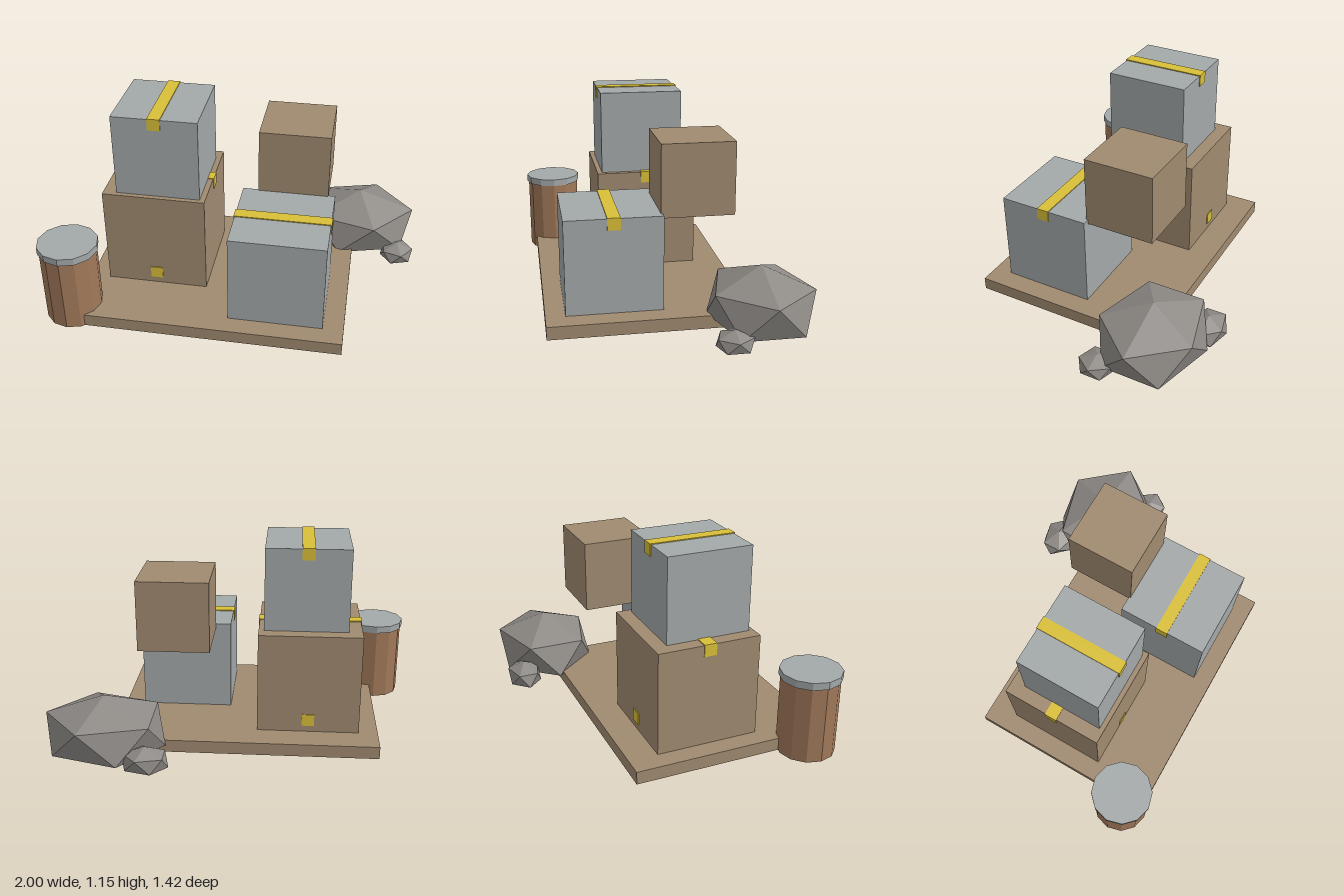
import * as THREE from 'three';

const mat = (color) => new THREE.MeshStandardMaterial({ color, flatShading: true });

export function createModel() {
  const root = new THREE.Group();
  const wood = mat(0xa08a70), grey = mat(0xa3a8a9), yellow = mat(0xd9bf38);
  const stone = mat(0x8e8a86), barrelWood = mat(0xa1795a);

  const add = (parent, name, geometry, material, x, y, z) => {
    const mesh = new THREE.Mesh(geometry, material);
    mesh.name = name;
    mesh.position.set(x, y, z);
    parent.add(mesh);
    return mesh;
  };
  const box = (parent, name, material, w, h, d, x, y, z) =>
    add(parent, name, new THREE.BoxGeometry(w, h, d), material, x, y, z);

  // Cube standing at height y, in its own group
  const crate = (name, material, size, x, y, z) => {
    const group = new THREE.Group();
    group.name = name;
    group.position.set(x, y, z);
    box(group, name + 'Body', material, size, size, size, 0, size / 2, 0);
    root.add(group);
    return group;
  };

  // Strip of tape over the lid with a short flap down each end; turn = PI/2 runs it along z
  const tape = (parent, size, offset, turn = 0) => {
    const t = 0.005, width = 0.068, drop = 0.06;
    const strip = new THREE.Group();
    strip.name = 'tape';
    strip.rotation.y = turn;
    box(strip, 'tapeTop', yellow, size + 2 * t, t, width, 0, size + t / 2, offset);
    for (const s of [-1, 1])
      box(strip, 'tapeFlap', yellow, t, drop, width, s * (size + t) / 2, size - drop / 2, offset);
    parent.add(strip);
  };

  // Pallet
  box(root, 'basePlatform', wood, 1.45, 0.07, 1.065, -0.085, 0.095, 0.13);

  // Boxes
  const large = crate('largeBox', wood, 0.56, -0.425, 0.13, 0.035);
  tape(large, 0.56, 0);
  for (const s of [-1, 1])
    box(large, 'tapePatch', yellow, 0.068, 0.068, 0.005, 0, 0.07, s * 0.2825);
  tape(crate('upperBox', grey, 0.457, -0.403, 0.69, 0.06), 0.457, 0, Math.PI / 2);
  tape(crate('frontBox', grey, 0.508, 0.275, 0.132, 0.305), 0.508, 0);
  crate('smallBox', wood, 0.385, 0.298, 0.615, -0.132);

  // Barrel with overhanging lid
  const barrel = new THREE.Group();
  barrel.name = 'barrel';
  barrel.position.set(-0.838, 0, 0.543);
  add(barrel, 'barrelBody', new THREE.CylinderGeometry(0.154, 0.154, 0.42, 12), barrelWood, 0, 0.27, 0);
  add(barrel, 'barrelLid', new THREE.CylinderGeometry(0.163, 0.163, 0.04, 12), grey, 0, 0.5, 0);
  root.add(barrel);

  // Rocks: squashed icosahedra turned to stand on a corner
  const rockShape = new THREE.IcosahedronGeometry(1, 0);
  rockShape.rotateZ(-Math.atan(2 / (1 + Math.sqrt(5))));
  const rocks = [
    ['largeRock', 0.66, 0.2, -0.423, 0.358, 0.2, 0.305],
    ['smallRockFront', 0.903, 0.109, -0.231, 0.104, 0.063, 0.106],
    ['smallRockBack', 0.418, 0.129, -0.624, 0.136, 0.081, 0.104],
  ];
  for (const [name, x, y, z, sx, sy, sz] of rocks)
    add(root, name, rockShape, stone, x, y, z).scale.set(sx, sy, sz);

  return root;
}
